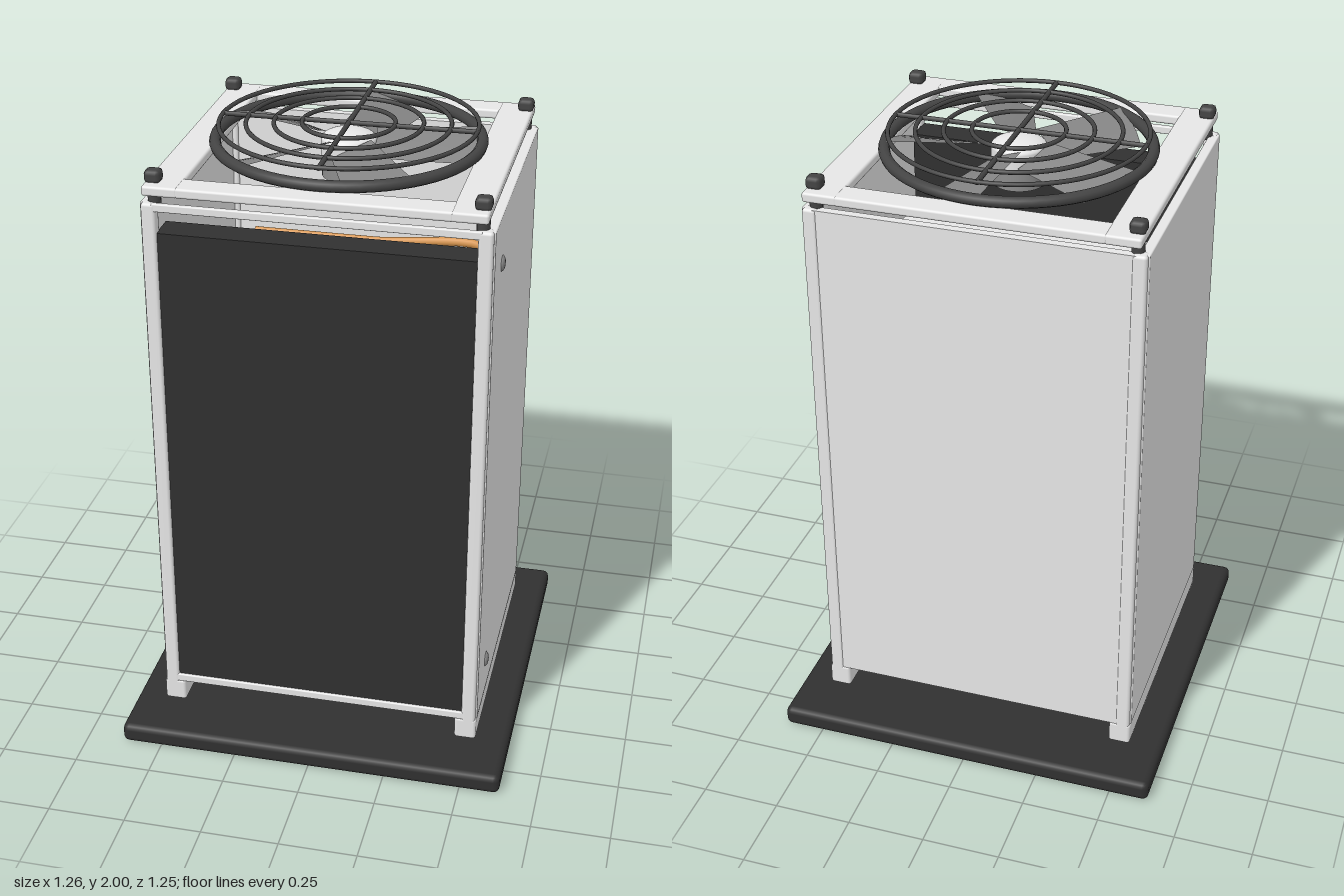
import * as THREE from 'three';
import { RoundedBoxGeometry } from 'three/addons/geometries/RoundedBoxGeometry.js';

const mat = (name, color) => {
  const m = new THREE.MeshStandardMaterial({ color });
  m.name = name;
  return m;
};

export function createModel() {
  const light = mat('light grey sheet metal', 0xe6e6e6);
  const dark = mat('dark base', 0x303030);
  const wire = mat('dark guard', 0x444444);
  const grey = mat('mid grey', 0x8c8c8c);
  const copper = mat('copper', 0xd8964f);
  const blade = mat('blade grey', 0x858585);
  blade.side = THREE.DoubleSide;

  const model = new THREE.Group();
  model.name = 'outdoorFanUnit';

  const add = (name, geo, material, x = 0, y = 0, z = 0, parent = model) => {
    const m = new THREE.Mesh(geo, material);
    m.name = name;
    m.position.set(x, y, z);
    parent.add(m);
    return m;
  };
  // box given by its limits, with softened edges when r > 0
  const box = (name, material, x0, x1, y0, y1, z0, z1, r = 0) => {
    const s = [x1 - x0, y1 - y0, z1 - z0];
    const geo = r ? new RoundedBoxGeometry(...s, 2, r) : new THREE.BoxGeometry(...s);
    return add(name, geo, material, (x0 + x1) / 2, (y0 + y1) / 2, (z0 + z1) / 2);
  };

  // ground slab
  box('baseSlab', dark, -0.63, 0.63, 0, 0.066, -0.625, 0.625, 0.02);

  // cabinet: posts, side panels and full-depth skids
  for (const s of [-1, 1]) {
    const side = (name, a, b, ...rest) =>
      box(name, light, Math.min(s * a, s * b), Math.max(s * a, s * b), ...rest);
    for (const z0 of [-0.466, 0.426]) {
      side('cornerPost', 0.477, 0.522, 0.14, 1.865, z0, z0 + 0.04, 0.01);
    }
    side('sidePanel', 0.495, 0.527, 0.157, 1.863, -0.45, 0.45, 0.004);
    side('skid', 0.455, 0.526, 0.083, 0.16, -0.466, 0.466, 0.01);
  }
  box('backPanel', light, -0.49, 0.49, 0.157, 1.863, -0.463, -0.435);
  box('frontTopRail', light, -0.49, 0.49, 1.84, 1.865, 0.448, 0.465, 0.004);
  box('frontBottomRail', light, -0.49, 0.49, 0.157, 0.184, 0.448, 0.465, 0.004);

  // dark front grille and the inner shelf behind it
  box('frontGrille', dark, -0.48, 0.48, 0.175, 1.77, 0.358, 0.456);
  box('innerShelf', light, -0.495, 0.495, 1.47, 1.5, -0.222, 0.35, 0.005);
  box('drainFitting', wire, 0.42, 0.46, 0.12, 0.148, -0.03, 0.03);

  // serpentine copper coil near the back
  const rows = [];
  for (let i = 0; i < 10; i++) {
    const y = 1.46 - i * 0.13;
    const s = i % 2 ? -1 : 1;
    for (const x of [-0.4, 0, 0.4]) rows.push(new THREE.Vector3(x * s, y, -0.345));
  }
  const coil = new THREE.CatmullRomCurve3(rows, false, 'centripetal');
  add('copperCoil', new THREE.TubeGeometry(coil, 240, 0.015, 8), copper);

  // round knobs on the service side
  for (const y of [0.29, 1.705]) {
    const knob = add('sideScrew', new THREE.SphereGeometry(0.025, 16, 10), grey, 0.526, y, 0.3);
    knob.scale.x = 0.45;
  }

  // raised top frame with standoffs and bolt heads
  for (const s of [-1, 1]) {
    const x0 = s > 0 ? 0.4 : -0.51;
    const z0 = s > 0 ? 0.398 : -0.486;
    box('topFrameSideBar', light, x0, x0 + 0.11, 1.896, 1.927, -0.486, 0.486, 0.008);
    box('topFrameCrossBar', light, -0.41, 0.41, 1.896, 1.927, z0, z0 + 0.088, 0.008);
    for (const t of [-1, 1]) {
      add('standoff', new THREE.CylinderGeometry(0.02, 0.02, 0.05, 12), wire, s * 0.487, 1.878, t * 0.43);
      add('boltHead', new RoundedBoxGeometry(0.05, 0.04, 0.05, 1, 0.013), wire, s * 0.487, 1.942, t * 0.43);
    }
  }

  // fan: motor, hub dome and five pitched blades
  const fan = new THREE.Group();
  fan.name = 'fan';
  model.add(fan);
  add('motor', new THREE.CylinderGeometry(0.083, 0.083, 0.07, 32), grey, 0, 1.86, 0, fan);
  add('hub', new THREE.CylinderGeometry(0.086, 0.086, 0.047, 32), light, 0, 1.9185, 0, fan);
  const dome = add('hubDome',
    new THREE.SphereGeometry(0.086, 32, 10, 0, Math.PI * 2, 0, Math.PI / 2), light, 0, 1.942, 0, fan);
  dome.scale.y = 0.33;

  const bladeGeo = new THREE.PlaneGeometry(1, 1, 8, 6);
  const p = bladeGeo.attributes.position;
  for (let i = 0; i < p.count; i++) {
    const u = p.getX(i) + 0.5;
    const v = p.getY(i);
    const width = 0.12 + 0.065 * u;
    p.setXYZ(i, 0.084 + 0.305 * u - 0.04 * v * v, 1.938 + 0.055 * v - 0.02 * v * v, -v * width - 0.045 * u);
  }
  bladeGeo.computeVertexNormals();
  for (let i = 0; i < 5; i++) {
    add('fanBlade', bladeGeo, blade, 0, 0, 0, fan).rotation.y = (i * Math.PI * 2) / 5;
  }

  // fan guard: thick rim, concentric wires and cross bars
  const ring = (name, radius, tube, y) => {
    add(name, new THREE.TorusGeometry(radius, tube, 10, 64), wire, 0, y, 0).rotation.x = Math.PI / 2;
  };
  ring('fanRim', 0.409, 0.018, 1.943);
  for (const r of [0.143, 0.229, 0.314, 0.397]) ring('guardRing', r, 0.007, 1.993);
  for (const a of [0, Math.PI / 2]) {
    const bar = add('guardBar', new THREE.CylinderGeometry(0.008, 0.008, 0.8, 8), wire, 0, 1.992, 0);
    bar.rotation.set(Math.PI / 2, 0, a);
  }

  return model;
}
